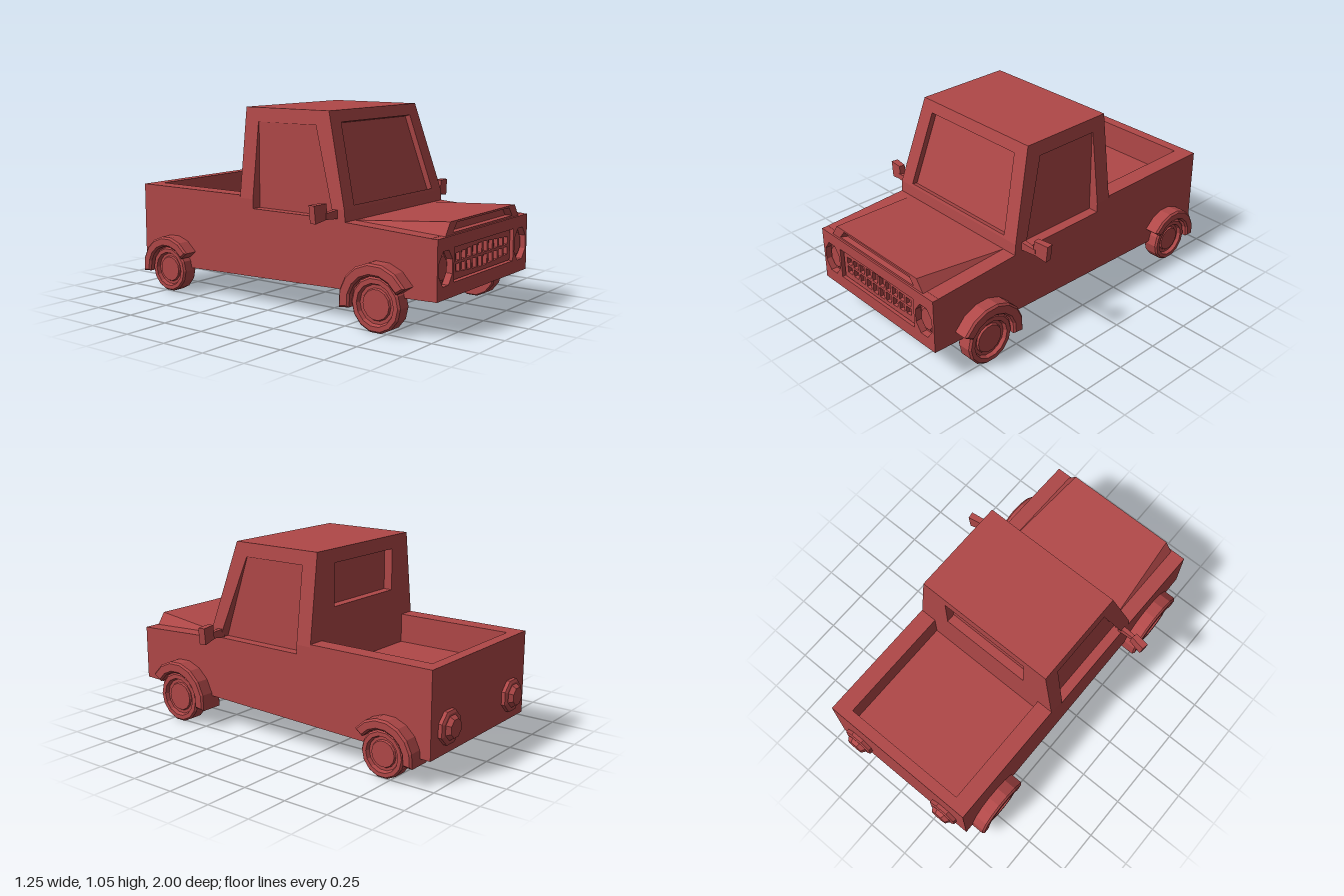
import * as THREE from 'three';

const paint = new THREE.MeshStandardMaterial({ color: 0xb04848, flatShading: true });

function add(parent, name, geometry) {
  const mesh = new THREE.Mesh(geometry, paint);
  mesh.name = name;
  parent.add(mesh);
  return mesh;
}

const flip = (face) => face.map(([x, y, z]) => [-x, y, z]).reverse();

// Flat polygons, corners counter-clockwise from outside
function polygons(faces) {
  const pos = [];
  for (const f of faces)
    for (let i = 1; i < f.length - 1; i++) pos.push(...f[0], ...f[i], ...f[i + 1]);
  const g = new THREE.BufferGeometry();
  g.setAttribute('position', new THREE.Float32BufferAttribute(pos, 3));
  g.computeVertexNormals();
  return g;
}

// Frame around an opening, its reveal, and a set-back pane
function panel(outer, hole, pane) {
  const faces = [pane];
  outer.forEach((p, i) => {
    const j = (i + 1) % outer.length;
    faces.push([p, outer[j], hole[j], hole[i]], [hole[i], hole[j], pane[j], pane[i]]);
  });
  return faces;
}

const shapeOf = (pts) => new THREE.Shape(pts.map(([x, y]) => new THREE.Vector2(x, y)));
const rect = (x0, y0, x1, y1) => [[x0, y0], [x1, y0], [x1, y1], [x0, y1]];
const plate = (shape, z, depth) =>
  new THREE.ExtrudeGeometry(shape, { depth, bevelEnabled: false }).translate(0, 0, z);

function octagon(cx, cy, rx, ry) {
  return Array.from({ length: 8 }, (_, i) => {
    const a = (i + 0.5) * Math.PI / 4;
    return [cx + rx * Math.cos(a) / 0.924, cy + ry * Math.sin(a) / 0.924];
  });
}

// Side profile (z, y) extruded across x, ending at x1
function sideExtrude(shape, x1, width, options = {}) {
  return new THREE.ExtrudeGeometry(shape, { depth: width, bevelEnabled: false, ...options })
    .rotateY(-Math.PI / 2).translate(x1, 0, 0);
}

function buildBody(g) {
  const profile = shapeOf([[0.965, 0.189], [0.965, 0.491], [0.47, 0.515], [-0.22, 0.515],
    [-0.22, 0.43], [-0.95, 0.43], [-0.95, 0.135]]);
  add(g, 'lowerBody', sideExtrude(profile, 0.46, 0.92));
  // Cargo bed walls
  for (const s of [-1, 1])
    add(g, 'bedSide', new THREE.BoxGeometry(0.095, 0.16, 0.73).translate(s * 0.4125, 0.51, -0.585));
  add(g, 'tailgate', new THREE.BoxGeometry(0.73, 0.16, 0.06).translate(0, 0.51, -0.92));

  // Nose with openings for grille and lamps
  const nose = shapeOf(rect(-0.46, 0.19, 0.46, 0.49));
  nose.holes.push(shapeOf(rect(-0.305, 0.26, 0.305, 0.43)));
  for (const s of [-1, 1]) nose.holes.push(shapeOf(octagon(s * 0.382, 0.34, 0.062, 0.085)));
  add(g, 'nose', plate(nose, 0.965, 0.035));

  // Grille: two rows of slots, taller towards the middle
  const grille = shapeOf(rect(-0.295, 0.265, 0.295, 0.425));
  const edge = (x) => 0.063 - 0.018 * Math.abs(x) / 0.275;
  for (let i = 0; i < 10; i++) {
    const a = -0.275 + i * 0.055 + 0.008, b = a + 0.039;
    grille.holes.push(shapeOf([[a, 0.354], [b, 0.354], [b, 0.347 + edge(b)], [a, 0.347 + edge(a)]]));
    grille.holes.push(shapeOf([[a, 0.347 - edge(a)], [b, 0.347 - edge(b)], [b, 0.34], [a, 0.34]]));
  }
  add(g, 'grille', plate(grille, 0.965, 0.02));

  // Headlamp lenses
  for (const s of [-1, 1]) {
    const lens = new THREE.CylinderGeometry(0.75, 1, 0.015, 8).rotateY(Math.PI / 8).rotateX(Math.PI / 2);
    add(g, 'headlamp', lens.scale(0.06, 0.083, 1).translate(s * 0.382, 0.34, 0.9725));
  }

  // Raised hood with intake slot
  const trap = (b, y0, t, y1, z) => [[-b, y0, z], [b, y0, z], [t, y1, z], [-t, y1, z]];
  const cheek = [[0.375, 0.49, 0.99], [0.375, 0.515, 0.47], [0.33, 0.555, 0.99]];
  add(g, 'hood', polygons([
    ...panel(trap(0.375, 0.49, 0.33, 0.555, 0.99), trap(0.305, 0.5, 0.268, 0.545, 0.99),
      trap(0.285, 0.502, 0.248, 0.543, 0.96)),
    [[-0.33, 0.555, 0.99], [0.33, 0.555, 0.99], [0.375, 0.515, 0.47], [-0.375, 0.515, 0.47]],
    cheek, flip(cheek),
  ]));
}

function buildCab(g) {
  const xAt = (y) => 0.46 - 0.06 * Math.max(0, (y - 0.575) / 0.48);
  const zAt = (y) => 0.465 - 0.14 * (y - 0.575) / 0.48;
  // Doors with side windows
  const side = [[0.47, 0.515], [-0.22, 0.515], [-0.22, 0.575], [-0.22, 1.055], [0.325, 1.055], [0.465, 0.575]];
  const opening = [[0.405, 0.525], [-0.13, 0.525], [-0.13, 0.575], [-0.13, 0.98], [0.25, 0.98], [0.388, 0.575]];
  const onSide = (pts) => pts.map(([z, y]) => [xAt(y), y, z]);
  const door = panel(onSide(side), onSide(opening), opening.map(([z, y]) => [0.404, y, z]));
  add(g, 'leftDoor', polygons(door));
  add(g, 'rightDoor', polygons(door.map(flip)));

  // Windscreen and cowl
  const screen = (b, y0, t, y1, dy, dz) =>
    [[-b, y0], [b, y0], [t, y1], [-t, y1]].map(([x, y]) => [x, y + dy, zAt(y) + dz]);
  add(g, 'windscreen', polygons([
    ...panel(screen(0.46, 0.575, 0.4, 1.055, 0, 0), screen(0.37, 0.59, 0.32, 0.995, 0, 0),
      screen(0.37, 0.59, 0.32, 0.995, -0.008, -0.03)),
    [[-0.46, 0.515, 0.47], [0.46, 0.515, 0.47], [0.46, 0.575, 0.465], [-0.46, 0.575, 0.465]],
  ]));

  // Back wall with rear window
  const at = (pts, z) => pts.map(([x, y]) => [x, y, z]);
  const back = [[0.46, 0.515], [-0.46, 0.515], [-0.46, 0.575], [-0.4, 1.055], [0.4, 1.055], [0.46, 0.575]];
  const rear = [[0.26, 0.75], [-0.26, 0.75], [-0.26, 0.8], [-0.26, 0.98], [0.26, 0.98], [0.26, 0.8]];
  add(g, 'cabBack', polygons(panel(at(back, -0.22), at(rear, -0.22), at(rear, -0.17))));

  add(g, 'roof', polygons([
    [[-0.4, 1.055, 0.325], [0.4, 1.055, 0.325], [0.4, 1.055, -0.22], [-0.4, 1.055, -0.22]]]));
}

// Wheel with recessed hub, axis along x
function wheelGeometry(r) {
  const pts = [[0, -0.045], [r * 0.95, -0.045], [r, -0.035], [r, 0.035], [r * 0.93, 0.045],
    [r * 0.76, 0.045], [r * 0.7, 0.025], [r * 0.58, 0.025], [r * 0.54, 0.035], [0, 0.035]];
  return new THREE.LatheGeometry(pts.map(([x, y]) => new THREE.Vector2(x, y)), 14).rotateZ(-Math.PI / 2);
}

// Arched fender strip with chamfered rim
function fenderGeometry(inner, outer, a0, a1) {
  const n = 7, b = 0.01, pts = [];
  const point = (r, i) => {
    const a = THREE.MathUtils.degToRad(a0 + (a1 - a0) * i / n);
    return [r * Math.cos(a), r * Math.sin(a)];
  };
  for (let i = 0; i <= n; i++) pts.push(point(outer - b, i));
  for (let i = n; i >= 0; i--) pts.push(point(inner + b, i));
  return sideExtrude(shapeOf(pts), 0.53, 0.125,
    { bevelEnabled: true, bevelSize: b, bevelThickness: b, bevelSegments: 1 });
}

function buildSide(g, s) {
  const axles = [
    { name: 'front', z: 0.69, y: 0.142, r: 0.142, inner: 0.145, outer: 0.208, a0: 33, a1: 188 },
    { name: 'rear', z: -0.71, y: 0.132, r: 0.125, inner: 0.13, outer: 0.186, a0: 38, a1: 186 },
  ];
  for (const a of axles) {
    const wheel = add(g, a.name + 'Wheel', wheelGeometry(a.r));
    wheel.position.set(s * 0.475, a.y, a.z);
    if (s < 0) wheel.rotation.y = Math.PI;
    const arch = fenderGeometry(a.inner, a.outer, a.a0, a.a1);
    if (s < 0) arch.translate(-0.935, 0, 0);
    add(g, a.name + 'Fender', arch).position.set(0, a.y, a.z);
  }

  // Door mirror: tapered arm and tilted head
  const arm = new THREE.CylinderGeometry(0.022, 0.034, 0.11, 4).rotateY(Math.PI / 4);
  arm.scale(1, 1, 0.6).rotateZ(-s * Math.PI / 2);
  add(g, 'mirrorArm', arm).position.set(s * 0.495, 0.55, 0.41);
  const head = new THREE.CylinderGeometry(0.065, 0.056, 0.085, 4).rotateY(Math.PI / 4);
  head.scale(1, 1, 0.42).rotateZ(-s * Math.PI / 2);
  const mirror = add(g, 'mirrorHead', head);
  mirror.position.set(s * 0.578, 0.57, 0.395);
  mirror.rotation.set(0, s * 0.15, -s * 0.1);

  // Tail lamp: flange and tapered lens
  const lamp = [[0, 0], [0.092, 0], [0.092, 0.02], [0.078, 0.027], [0.066, 0.027], [0.05, 0.05], [0, 0.05]];
  const lampGeometry = new THREE.LatheGeometry(lamp.map(([x, y]) => new THREE.Vector2(x, y)), 8);
  add(g, 'tailLamp', lampGeometry.rotateY(Math.PI / 8).rotateX(-Math.PI / 2))
    .position.set(s * 0.31, 0.272, -0.95);
}

export function createModel() {
  const truck = new THREE.Group();
  truck.name = 'pickupTruck';
  buildBody(truck);
  buildCab(truck);
  for (const s of [-1, 1]) {
    const side = new THREE.Group();
    side.name = s > 0 ? 'leftSide' : 'rightSide';
    buildSide(side, s);
    truck.add(side);
  }
  return truck;
}
